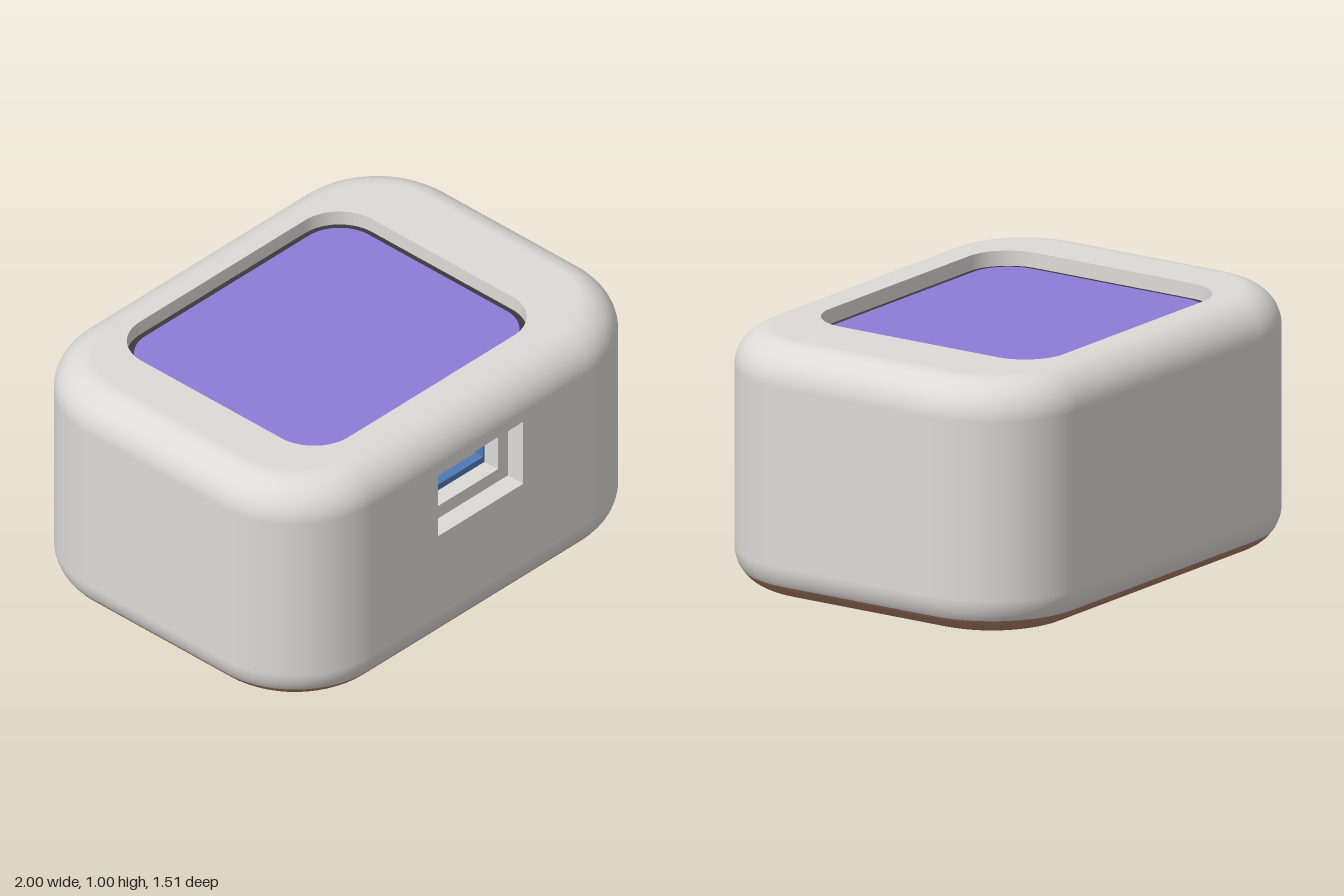
import * as THREE from 'three';

const W = 1, D = 0.755, H = 1.005; // half width, half depth, height
const R = 0.4, B = 0.15;           // plan corner radius, edge rounding
const N = 14;                      // segments per plan corner

const mat = (name, color) => {
  const m = new THREE.MeshStandardMaterial({ color });
  m.name = name;
  return m;
};

function roundRect(path, w, h, r, cx = 0, cy = 0) {
  const x = w / 2 - r, y = h / 2 - r;
  [[x, y], [-x, y], [-x, -y], [x, -y]].forEach(([px, py], i) => {
    if (r > 0) path.absarc(cx + px, cy + py, r, i * Math.PI / 2, (i + 1) * Math.PI / 2, false);
    else if (i) path.lineTo(cx + px, cy + py);
    else path.moveTo(cx + px, cy + py);
  });
  path.closePath();
  return path;
}

// Flat plate with one hole: outer and inner are roundRect arguments
function ring(outer, inner, depth) {
  const s = roundRect(new THREE.Shape(), ...outer);
  s.holes.push(roundRect(new THREE.Path(), ...inner));
  return new THREE.ExtrudeGeometry(s, { depth, bevelEnabled: false, curveSegments: 14 });
}

// Loft of rounded rectangles; each level is [y, inset, tilt of the normal]
function shell(levels, skipFront = -1) {
  const pos = [], nor = [], idx = [], M = 4 * (N + 1);
  for (const [y, inset, tilt] of levels) {
    for (let c = 0; c < 4; c++) {
      const sx = c === 0 || c === 3 ? 1 : -1, sz = c < 2 ? 1 : -1;
      for (let i = 0; i <= N; i++) {
        const t = (c + i / N) * Math.PI / 2, cos = Math.cos(t), sin = Math.sin(t);
        pos.push(sx * (W - R) + (R - inset) * cos, y, sz * (D - R) + (R - inset) * sin);
        nor.push(cos * Math.cos(tilt), Math.sin(tilt), sin * Math.cos(tilt));
      }
    }
  }
  for (let l = 0; l < levels.length - 1; l++) {
    for (let i = 0; i < M; i++) {
      if (l === skipFront && i === N) continue; // opening for the front panel
      const a = l * M + i, b = l * M + (i + 1) % M;
      idx.push(a, a + M, b, b, a + M, b + M);
    }
  }
  const g = new THREE.BufferGeometry();
  g.setAttribute('position', new THREE.Float32BufferAttribute(pos, 3));
  g.setAttribute('normal', new THREE.Float32BufferAttribute(nor, 3));
  g.setIndex(idx);
  return g;
}

// Levels of a quarter-round edge between two tilts
function edge(from, to, centreY, steps) {
  return Array.from({ length: steps + 1 }, (_, i) => {
    const t = from + (to - from) * i / steps;
    return [centreY + B * Math.sin(t), B * (1 - Math.cos(t)), t];
  });
}

export function createModel() {
  const group = new THREE.Group();
  const grey = mat('light grey', 0xdddbd8);
  const brown = mat('brown', 0xb0806c);
  const purple = mat('purple', 0x8b7dd8);
  const dark = mat('dark grey', 0x3a3a3c);
  const blue = mat('blue', 0x4f79b5);
  const add = (name, geometry, material, x = 0, y = 0, z = 0) => {
    const m = new THREE.Mesh(geometry, material);
    m.name = name;
    m.position.set(x, y, z);
    group.add(m);
  };

  // Casing and the base below it, split on the lower rounded edge
  const split = -Math.asin((B - 0.065) / B), q = Math.PI / 2;
  const lower = edge(split, 0, B, 6);
  add('casing', shell([...lower, ...edge(0, q, H - B, 10)], lower.length - 1), grey);
  add('base', shell(edge(-q, split, B, 8)), brown);
  const flat = [2 * (W - B), 2 * (D - B), R - B];
  add('baseUnderside', new THREE.ShapeGeometry(roundRect(new THREE.Shape(), ...flat), 14).rotateX(q), brown);

  // Top with the sunken screen
  const sink = 0.06, cx = -0.035, cz = -0.015;
  add('topPanel', ring(flat, [1.27, 1.09, 0.18, cx, -cz], sink).rotateX(-q), grey, 0, H - sink);
  const plate = (w, h, r, t) => new THREE.ExtrudeGeometry(roundRect(new THREE.Shape(), w, h, r),
    { depth: t, bevelEnabled: false, curveSegments: 14 }).rotateX(-q);
  add('screenBorder', plate(1.27, 1.09, 0.18, 0.02), dark, cx, H - sink - 0.02, cz);
  add('screen', plate(1.22, 1.04, 0.16, 0.004), purple, cx, H - sink, cz);

  // Front panel with the stepped port
  const py = 0.665, outer = [0.47, 0.29, 0], inner = [0.36, 0.175, 0];
  add('frontPanel', ring([2 * (W - R), H - 2 * B, 0], [...outer, 0, py - H / 2], 0.08), grey, 0, H / 2, D - 0.08);
  add('portSleeve', ring([0.5, 0.32, 0], inner, 0.07), grey, 0, py, D - 0.15);
  add('portLiner', ring([0.4, 0.21, 0], [0.346, 0.122, 0], 0.04), blue, 0, py, D - 0.19);
  add('portBack', new THREE.BoxGeometry(0.4, 0.21, 0.02), grey, 0, py, D - 0.2);
  return group;
}
